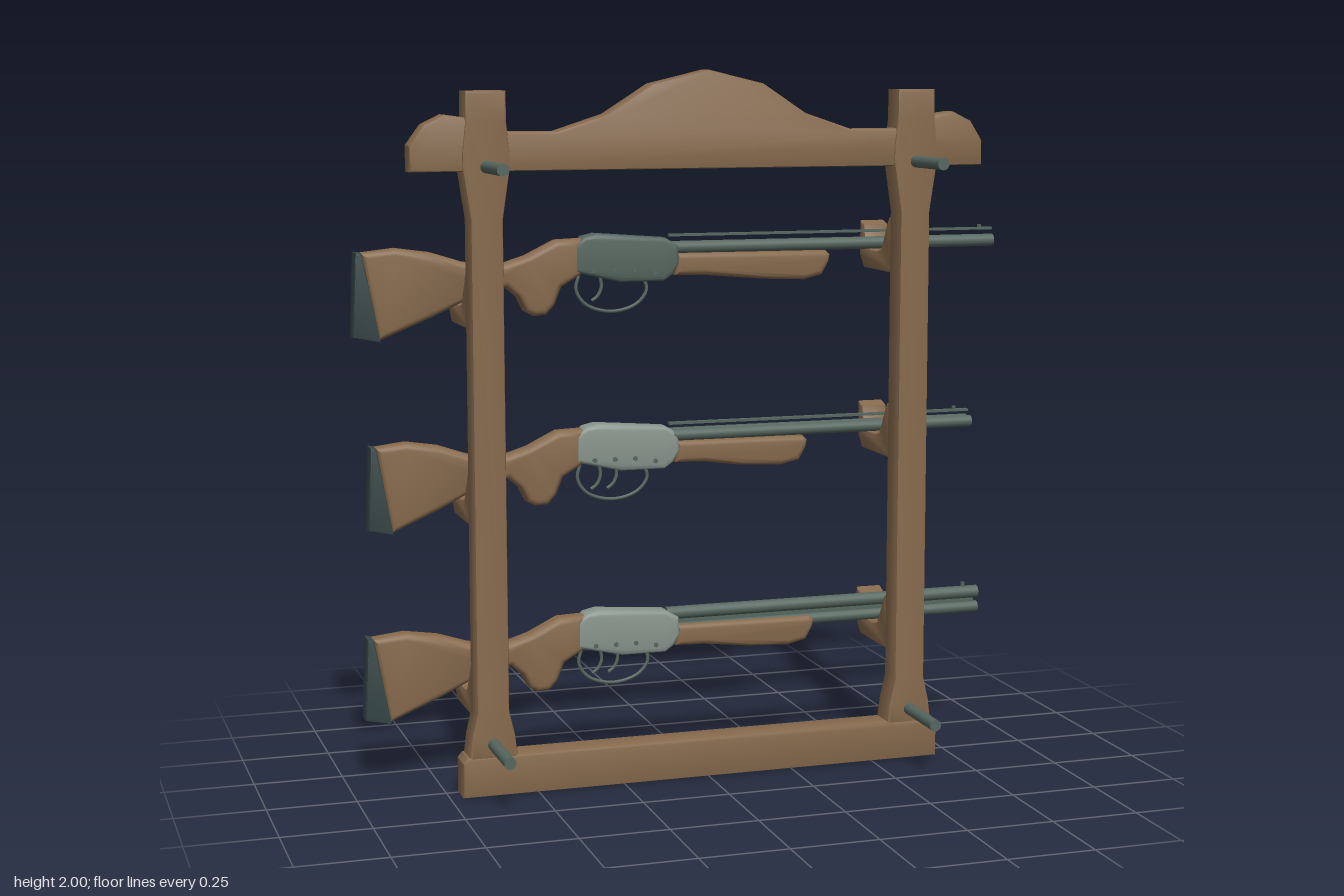
import * as THREE from 'three';
import { toCreasedNormals } from 'three/addons/utils/BufferGeometryUtils.js';

const mat = (name, color) => {
  const m = new THREE.MeshStandardMaterial({ color });
  m.name = name;
  return m;
};

export function createModel() {
  const wood = mat('wood', 0x876a4d);
  const steel = mat('darkSteel', 0x56665f);
  const silver = mat('paleSteel', 0x8a968e);
  const rubber = mat('rubber', 0x374747);

  const mesh = (name, geo, material, parent) => {
    const m = new THREE.Mesh(geo, material);
    m.name = name;
    parent.add(m);
    return m;
  };
  // Bevelled slab from an outline, centred on z = 0
  const slab = (pts, depth, bevel, steps = 2) => {
    const shape = new THREE.Shape(pts.map(([x, y]) => new THREE.Vector2(x, y)));
    const g = new THREE.ExtrudeGeometry(shape, {
      depth: depth - 2 * bevel, bevelEnabled: true, bevelSize: bevel,
      bevelThickness: bevel, bevelOffset: -bevel, bevelSegments: steps,
    });
    g.translate(0, 0, bevel - depth / 2);
    return toCreasedNormals(g, 0.6);
  };
  // Round bar along x
  const bar = (x0, x1, y, z, r) => {
    const g = new THREE.CylinderGeometry(r, r, x1 - x0, 16);
    g.rotateZ(Math.PI / 2);
    g.translate((x0 + x1) / 2, y, z);
    return g;
  };
  const box = (x0, x1, y, h, w) =>
    new THREE.BoxGeometry(x1 - x0, h, w).translate((x0 + x1) / 2, y, 0);
  const tube = (pts, r) => new THREE.TubeGeometry(
    new THREE.CatmullRomCurve3(pts.map(([x, y]) => new THREE.Vector3(x, y, 0))), 28, r, 8);

  const root = new THREE.Group();
  root.name = 'wallRack';
  const FZ = 0.028; // middle of the frame
  const postX = [-0.628, 0.615];

  // Frame
  const frame = new THREE.Group();
  frame.name = 'frame';
  root.add(frame);
  mesh('topBoard', slab([
    [-0.835, 1.73], [0.82, 1.73], [0.82, 1.8], [0.785, 1.855], [0.73, 1.882], [0.68, 1.875],
    [0.55, 1.835], [0.42, 1.835], [0.285, 1.88], [0.16, 1.962], [0, 2], [-0.16, 1.962],
    [-0.29, 1.88], [-0.43, 1.835], [-0.56, 1.835], [-0.69, 1.875], [-0.74, 1.882],
    [-0.795, 1.855], [-0.835, 1.8],
  ], 0.074, 0.008), wood, frame).position.z = FZ;
  mesh('bottomBeam', slab([
    [-0.715, 0], [0.702, 0], [0.702, 0.1], [0.69, 0.115], [-0.703, 0.115], [-0.715, 0.1],
  ], 0.086, 0.008), wood, frame).position.z = FZ;

  const half = [[0.07, 0.105], [0.062, 0.17], [0.046, 0.24], [0.045, 1.6], [0.066, 1.74],
    [0.066, 1.78], [0.057, 1.86], [0.056, 1.945]];
  const postOutline = [...half, ...half.map(([x, y]) => [-x, y]).reverse()];
  for (const x of postX) {
    mesh('post', slab(postOutline, 0.084, 0.008), wood, frame).position.set(x, 0, FZ);
    // Mounting pegs
    for (const y of [0.148, 1.742]) {
      const g = new THREE.CylinderGeometry(0.017, 0.017, 0.29, 16).rotateX(Math.PI / 2);
      mesh('mountingPeg', g, steel, frame).position.set(x, y, 0.12);
    }
  }

  // Cradle hooks: outline as distance behind the post against height
  const hookGeo = slab([
    [0.005, 0], [0.23, 0], [0.262, 0.035], [0.262, 0.137], [0.228, 0.125], [0.222, 0.095],
    [0.205, 0.068], [0.18, 0.056], [0.125, 0.056], [0.096, 0.064], [0.07, 0.105],
    [0.046, 0.148], [0.035, 0.16], [0.005, 0.163],
  ], 0.078, 0.006).rotateY(Math.PI / 2);
  const hooks = [[1.297, 1.42], [0.75, 0.88], [0.205, 0.31]];
  for (const pair of hooks) {
    pair.forEach((y, i) => mesh('cradleHook', hookGeo, wood, root).position.set(postX[i], y, 0));
  }

  // Long guns lying in the hooks
  const guns = [
    { y: 0, butt: 1, fore: 0.435, end: 0.957, receiver: steel, triggers: [-0.252],
      barrels: [[1.498, 0, 0.018]], rib: 1.533, bead: 0.915 },
    { y: -0.541, butt: 0.92, fore: 0.368, end: 0.888, receiver: silver, triggers: [-0.258, -0.21],
      barrels: [[1.5, -0.017, 0.017], [1.5, 0.017, 0.017]], rib: 1.532, bead: 0.842 },
    { y: -1.082, butt: 0.967, fore: 0.392, end: 0.925, receiver: silver, triggers: [-0.258, -0.21],
      barrels: [[1.514, 0, 0.019], [1.468, 0, 0.017]], bead: 0.88 },
  ];
  for (const s of guns) {
    const gun = new THREE.Group();
    gun.name = 'longGun';
    gun.position.set(0, s.y, -0.158);
    root.add(gun);
    const stretch = ([x, y]) => [x < -0.58 ? -0.58 + (x + 0.58) * (s.butt - 0.05 * (1 - s.butt)) : x, y];

    mesh('stock', slab([
      [-0.89, 1.26], [-0.73, 1.325], [-0.59, 1.39], [-0.53, 1.398], [-0.497, 1.37],
      [-0.475, 1.328], [-0.45, 1.315], [-0.415, 1.318], [-0.39, 1.345], [-0.37, 1.395],
      [-0.31, 1.43], [-0.31, 1.53], [-0.385, 1.527], [-0.47, 1.485], [-0.53, 1.466],
      [-0.59, 1.463], [-0.65, 1.472], [-0.74, 1.5], [-0.84, 1.514], [-0.937, 1.503],
    ].map(stretch), 0.064, 0.018, 4), wood, gun);
    mesh('buttPad', slab([
      [-0.962, 1.272], [-0.886, 1.256], [-0.934, 1.503], [-0.952, 1.505],
    ].map(stretch), 0.066, 0.006), rubber, gun);

    mesh('receiver', slab([
      [-0.333, 1.435], [-0.2, 1.405], [-0.07, 1.405], [-0.045, 1.422], [-0.026, 1.455],
      [-0.028, 1.505], [-0.065, 1.527], [-0.27, 1.543], [-0.305, 1.535], [-0.333, 1.51],
    ], 0.068, 0.012, 3), s.receiver, gun);
    for (const x of [-0.28, -0.22, -0.16, -0.1]) {
      const g = new THREE.CylinderGeometry(0.007, 0.007, 0.074, 10).rotateX(Math.PI / 2);
      mesh('receiverPin', g, steel, gun).position.set(x, x < -0.15 ? 1.44 : 1.43, 0);
    }

    // Trigger guard and triggers
    mesh('triggerGuard', tube([
      [-0.315, 1.425], [-0.323, 1.385], [-0.295, 1.342], [-0.22, 1.32], [-0.145, 1.34],
      [-0.115, 1.38], [-0.125, 1.415],
    ], 0.005), steel, gun);
    for (const x of s.triggers) {
      mesh('trigger', tube([[x, 1.42], [x + 0.003, 1.39], [x - 0.008, 1.365], [x - 0.025, 1.352]],
        0.005), steel, gun);
    }

    mesh('forearm', slab([
      [-0.035, 1.42], [0.05, 1.418], [s.fore - 0.2, 1.402], [s.fore - 0.08, 1.397],
      [s.fore - 0.025, 1.41], [s.fore - 0.004, 1.447], [s.fore, 1.468], [s.fore - 0.012, 1.48],
      [-0.035, 1.482],
    ], 0.06, 0.016, 4), wood, gun);

    // Barrels, rib and front bead
    for (const [y, z, r] of s.barrels) mesh('barrel', bar(-0.06, s.end, y, z, r), steel, gun);
    if (s.rib) mesh('sightRib', box(-0.05, s.end - 0.003, s.rib, 0.007, 0.018), steel, gun);
    else mesh('barrelJoint', box(-0.05, s.end - 0.01, 1.49, 0.02, 0.008), steel, gun);
    const bead = new THREE.CylinderGeometry(0.006, 0.006, 0.014, 10);
    mesh('frontBead', bead, steel, gun).position.set(s.bead, 1.538, 0);
  }
  return root;
}
